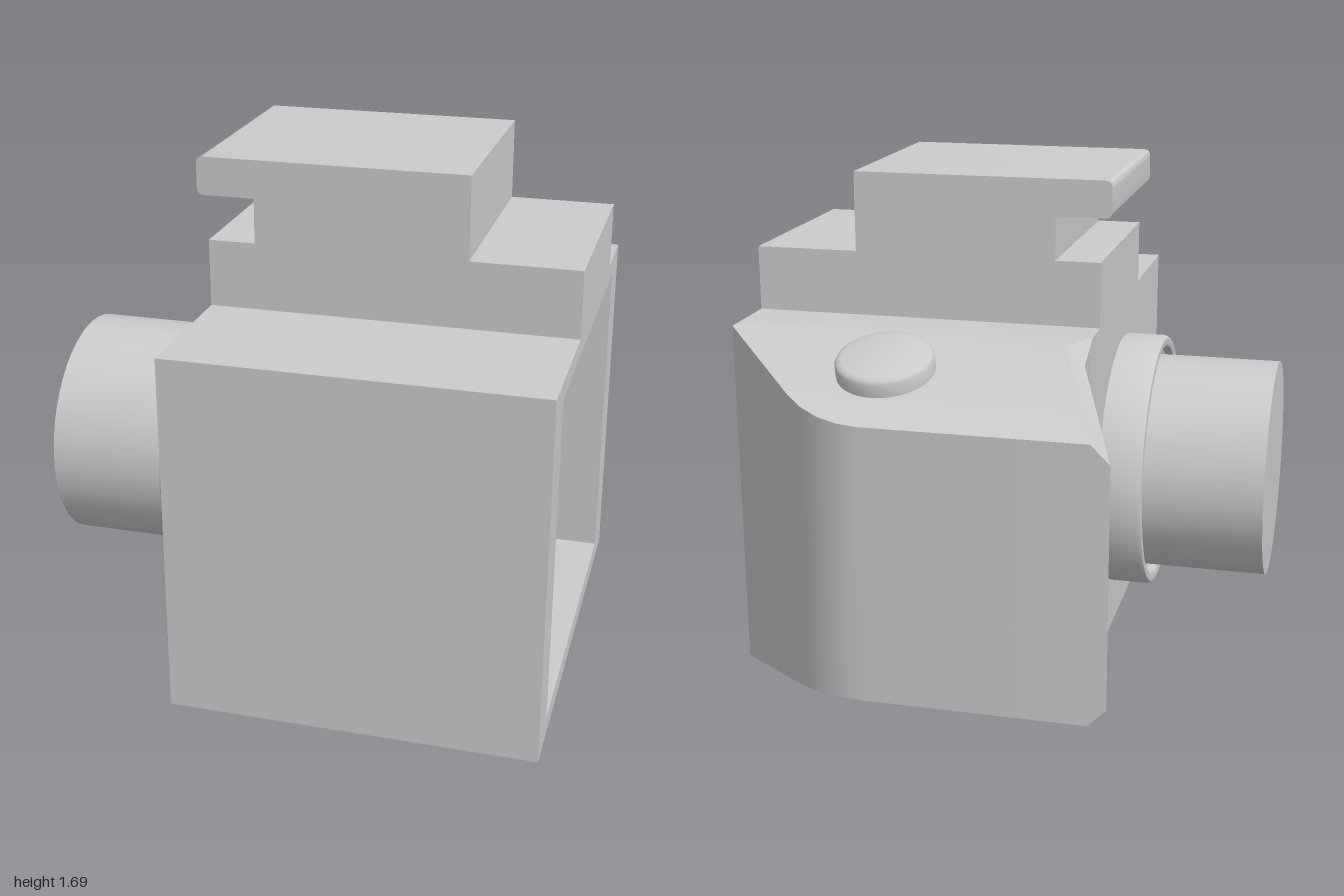
import * as THREE from 'three';
import { toCreasedNormals } from 'three/addons/utils/BufferGeometryUtils.js';

const grey = new THREE.MeshStandardMaterial({ color: 0xcccccc });
const greyDouble = new THREE.MeshStandardMaterial({ color: 0xcccccc, side: THREE.DoubleSide });

const RIGHT = 0.875; // +x face of the body

function part(name, geometry, material = grey) {
  const mesh = new THREE.Mesh(geometry, material);
  mesh.name = name;
  return mesh;
}

// Turned part from [radius, height] pairs
function turned(name, profile) {
  const points = profile.map(([r, h]) => new THREE.Vector2(r, h));
  return part(name, toCreasedNormals(new THREE.LatheGeometry(points, 48), 0.7));
}

// Six-cornered outline of the body at depth z; the grip tapers in height and flares to the lens side
function bodySection(z, xRight, chamfer) {
  const t = Math.max(0, (-0.49 - z) / 0.51);
  const xLeft = -0.32 - 0.18 * t, bottom = 0.15 * t, top = 1.2 - 0.15 * t;
  return [
    [xLeft + chamfer, bottom, z], [xRight, bottom, z], [xRight, top, z],
    [xLeft + chamfer, top, z], [xLeft, top - chamfer, z], [xLeft, bottom + chamfer, z],
  ];
}

function bodyGeometry() {
  const sections = [
    [1, RIGHT, 0.001], [-0.36, RIGHT, 0.001], [-0.49, RIGHT, 0.06], [-0.86, 0.54, 0.06],
    [-0.92, 0.475, 0.06], [-0.965, 0.405, 0.06], [-0.99, 0.335, 0.06], [-1, 0.27, 0.06],
  ].map((s) => bodySection(...s));
  const n = 6, last = sections.length - 1, index = [];
  for (let i = 0; i < last; i++) {
    for (let j = 0; j < n; j++) {
      if (i < 2 && j === 1) continue; // left open for the recessed back panel
      const k = (j + 1) % n;
      const a = i * n + j, b = i * n + k, c = b + n, d = a + n;
      index.push(a, d, c, a, c, b);
    }
  }
  // End caps
  for (let j = 1; j < n - 1; j++) {
    index.push(0, j, j + 1, last * n, last * n + j + 1, last * n + j);
  }
  const geometry = new THREE.BufferGeometry();
  geometry.setAttribute('position', new THREE.Float32BufferAttribute(sections.flat(2), 3));
  geometry.setIndex(index);
  return toCreasedNormals(geometry, 0.6);
}

function rectangle(path, x0, y0, x1, y1) {
  return path.moveTo(x0, y0).lineTo(x1, y0).lineTo(x1, y1).lineTo(x0, y1).closePath();
}

// Frame around the recess, lying in the +x face
function frameGeometry() {
  const shape = rectangle(new THREE.Shape(), -1, 0, 0.49, 1.2);
  shape.holes.push(rectangle(new THREE.Path(), -0.85, 0.065, 0.334, 1.14));
  return new THREE.ShapeGeometry(shape).rotateY(Math.PI / 2).translate(RIGHT, 0, 0);
}

// Box without its +x side
function recessGeometry(depth) {
  const box = new THREE.BoxGeometry(depth, 1.075, 1.184);
  box.setIndex(Array.from(box.index.array).slice(6));
  box.clearGroups();
  return box.translate(RIGHT - depth / 2, 0.6025, 0.258);
}

// Stepped viewfinder housing with an overhanging, rounded top
function viewfinderGeometry() {
  const s = new THREE.Shape();
  s.moveTo(-0.32, 1.19).lineTo(RIGHT, 1.19).lineTo(RIGHT, 1.42).lineTo(0.523, 1.42);
  s.lineTo(0.523, 1.69).lineTo(-0.33, 1.69);
  s.quadraticCurveTo(-0.355, 1.69, -0.355, 1.665);
  s.lineTo(-0.355, 1.59).quadraticCurveTo(-0.355, 1.566, -0.33, 1.566);
  s.lineTo(-0.167, 1.566).lineTo(-0.167, 1.42).lineTo(-0.32, 1.42).closePath();
  const geometry = new THREE.ExtrudeGeometry(s, { depth: 0.75, bevelEnabled: false, curveSegments: 6 });
  return toCreasedNormals(geometry.translate(0, 0, -0.24), 0.7);
}

export function createModel() {
  const model = new THREE.Group();
  model.name = 'camera';

  const body = new THREE.Group();
  body.name = 'body';
  body.add(
    part('bodyShell', bodyGeometry()),
    part('backFrame', frameGeometry()),
    part('backRecess', recessGeometry(0.23), greyDouble),
  );

  // Lens pointing to -x; heights are distances from x = 0
  const lens = new THREE.Group();
  lens.name = 'lens';
  lens.add(
    turned('lensMount', [
      [0.453, 0.3], [0.453, 0.455], [0.445, 0.467], [0.43, 0.47],
      [0.415, 0.465], [0.405, 0.44], [0.37, 0.43],
    ]),
    turned('lensBarrel', [[0.383, 0.32], [0.383, 0.875], [0, 0.875]]),
  );
  lens.rotation.z = Math.PI / 2;
  lens.position.set(0, 0.606, 0.213);

  // Shutter button, square to the sloping top of the grip
  const button = turned('shutterButton', [
    [0.157, -0.02], [0.157, 0.045], [0.15, 0.056], [0.135, 0.062], [0, 0.064],
  ]);
  button.rotation.x = -0.286;
  button.position.set(0.273, 1.138, -0.695);

  model.add(body, part('viewfinder', viewfinderGeometry()), lens, button);
  return model;
}
